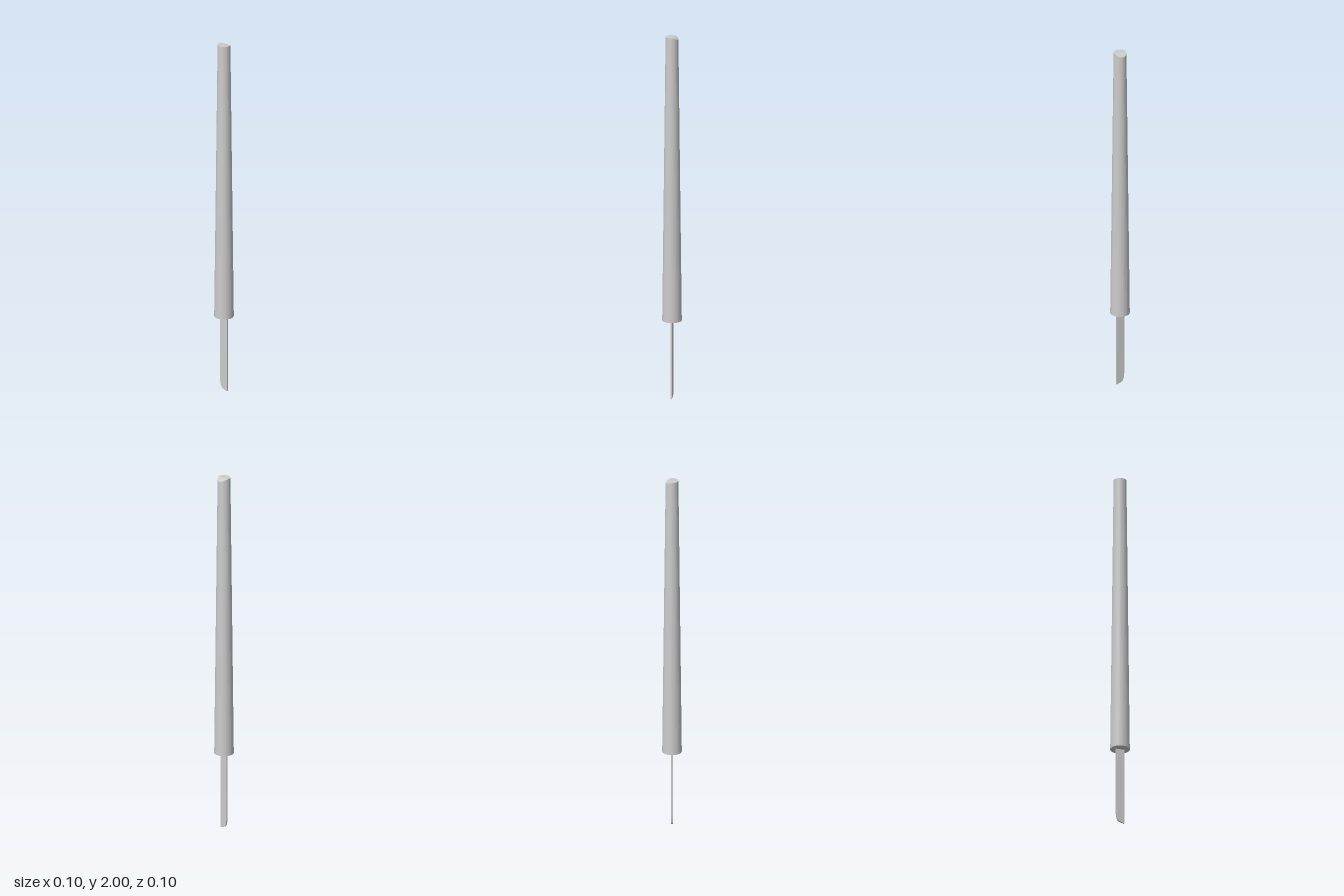
import * as THREE from 'three';

const material = new THREE.MeshStandardMaterial({ color: 0xcccccc, flatShading: true });

// Tapered round handle whose end slopes away towards the back
function createHandle() {
  const bottom = 0.43, top = 2, rBottom = 0.052, rTop = 0.034, drop = 0.015;
  const profile = [[0, bottom], [rBottom, bottom], [rTop, top]];
  for (const k of [0.8, 0.6, 0.4, 0.2, 0]) profile.push([rTop * k, top]);
  const geometry = new THREE.LatheGeometry(profile.map(([r, y]) => new THREE.Vector2(r, y)), 36);
  const p = geometry.attributes.position;
  for (let i = 0; i < p.count; i++) {
    const z = p.getZ(i);
    if (p.getY(i) > top - 0.01 && z < 0) p.setY(i, top - drop * (z / rTop) ** 2);
  }
  geometry.computeVertexNormals();
  const mesh = new THREE.Mesh(geometry, material);
  mesh.name = 'handle';
  return mesh;
}

// Thin flat blade with one rounded corner and a slanted tip
function createBlade() {
  const thickness = 0.008;
  const shape = new THREE.Shape();
  shape.moveTo(0.023, 0.46);
  shape.lineTo(-0.024, 0.46);
  shape.lineTo(-0.024, 0.09);
  shape.bezierCurveTo(-0.024, 0.03, -0.018, 0.014, -0.004, 0.009);
  shape.lineTo(0.023, 0);
  shape.closePath();
  const geometry = new THREE.ExtrudeGeometry(shape, { depth: thickness, bevelEnabled: false, curveSegments: 10 });
  geometry.translate(0, 0, -thickness / 2);
  const mesh = new THREE.Mesh(geometry, material);
  mesh.name = 'blade';
  return mesh;
}

export function createModel() {
  const model = new THREE.Group();
  model.name = 'longHandledBlade';
  model.add(createHandle(), createBlade());
  return model;
}
